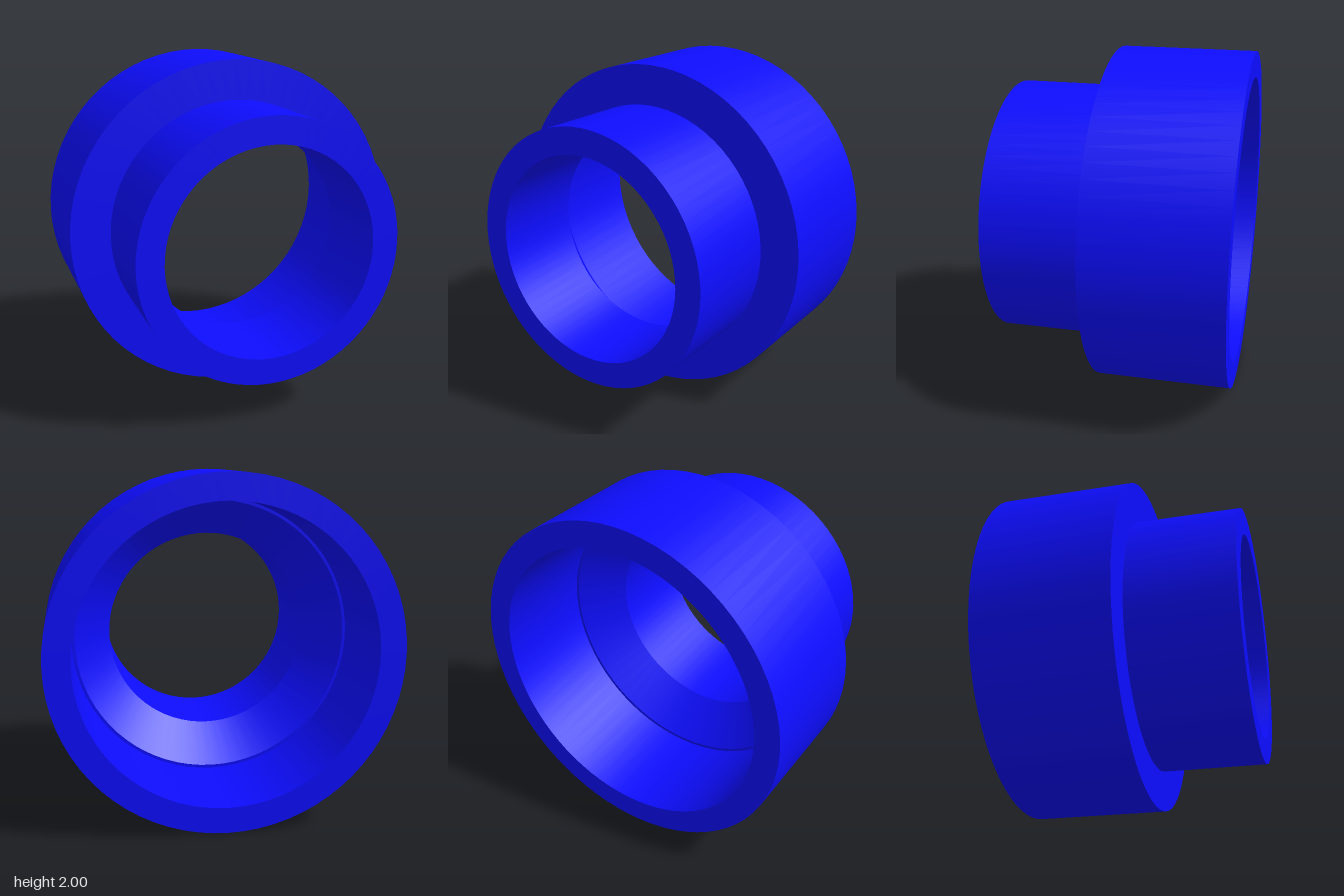
import * as THREE from 'three';
import { toCreasedNormals } from 'three/addons/utils/BufferGeometryUtils.js';

export function createModel() {
  const group = new THREE.Group();
  group.name = 'steppedReducerBushing';
  const blue = new THREE.MeshStandardMaterial({ color: 0x0d0dff });

  // Closed wall section as [radius, z]: up the outside, back down the bore
  const section = [
    [0.85, -0.7], [1, -0.7],          // rear rim
    [1, 0.08], [0.765, 0.08],         // wide collar and shoulder
    [0.765, 0.7], [0.61, 0.7],        // narrow spigot and front rim
    [0.61, 0.14],                     // straight bore
    [0.825, -0.08], [0.843, -0.08],   // inner cone and small ledge
    [0.85, -0.7],                     // wide socket
  ].map(([r, z]) => new THREE.Vector2(r, z));

  const lathe = new THREE.LatheGeometry(section, 72);
  lathe.rotateX(Math.PI / 2); // turn the axis to face the front
  const body = new THREE.Mesh(toCreasedNormals(lathe, Math.PI / 7), blue);
  body.name = 'bushingBody';
  body.position.y = 1;
  group.add(body);
  return group;
}
